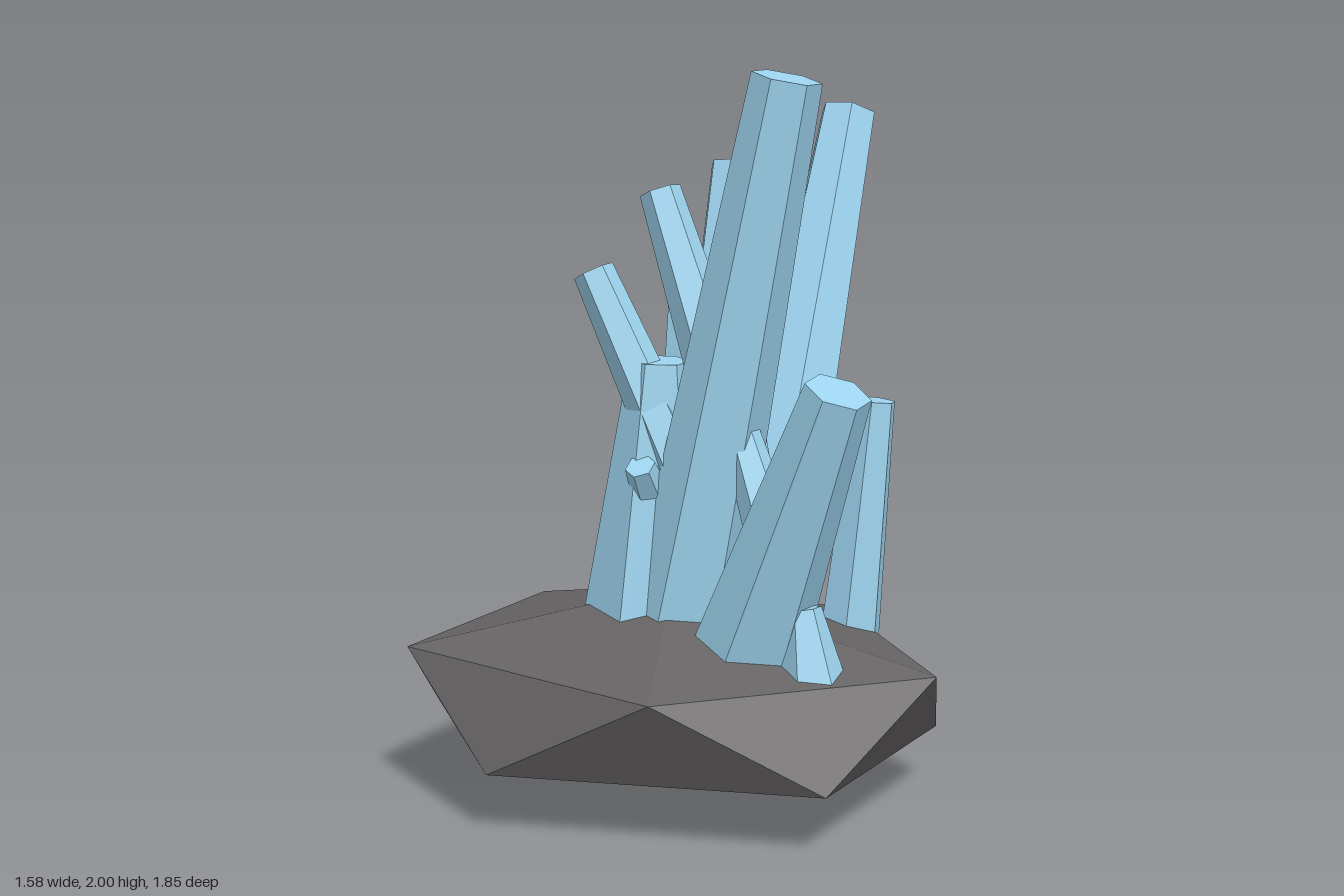
import * as THREE from 'three';
import { ConvexGeometry } from 'three/addons/geometries/ConvexGeometry.js';

const rockMaterial = new THREE.MeshStandardMaterial({ color: 0x666464, flatShading: true });
const crystalMaterial = new THREE.MeshStandardMaterial({ color: 0x9dd3ee, flatShading: true });

// Flattened icosahedron: two poles and two staggered rings of five corners
function makeRock() {
  const cz = 0.32, rx = 0.79, rz = 0.625;
  const points = [new THREE.Vector3(0, 0, cz), new THREE.Vector3(0, 0.58, cz)];
  for (let i = 0; i < 5; i++) {
    const a = (i / 5) * Math.PI * 2;
    points.push(new THREE.Vector3(rx * Math.cos(a), 0.415, cz + rz * Math.sin(a)));
    points.push(new THREE.Vector3(-rx * Math.cos(a), 0.165, cz + rz * Math.sin(a)));
  }
  const rock = new THREE.Mesh(new ConvexGeometry(points), rockMaterial);
  rock.name = 'rockBase';
  return rock;
}

// Six-sided tapered shaft from base to tip; spin is in degrees about its axis
function makeCrystal({ name, base, tip, r, spin = 0 }) {
  const a = new THREE.Vector3(...base);
  const b = new THREE.Vector3(...tip);
  const axis = b.clone().sub(a);
  const length = axis.length();
  const geometry = new THREE.CylinderGeometry(r[1], r[0], length, 6);
  geometry.rotateY(THREE.MathUtils.degToRad(spin));
  const crystal = new THREE.Mesh(geometry, crystalMaterial);
  crystal.quaternion.setFromUnitVectors(new THREE.Vector3(0, 1, 0), axis.normalize());
  crystal.position.copy(a).add(b).multiplyScalar(0.5);
  crystal.name = name;
  return crystal;
}

// r is [base radius, tip radius]
const crystals = [
  // Large shafts growing from the rock
  { name: 'tallCrystal', base: [0.04, 0.45, 0.36], tip: [0.37, 1.985, 0.375], r: [0.155, 0.095] },
  { name: 'backLeaningCrystal', base: [0.01, 0.3, -0.14], tip: [-0.015, 1.83, -0.865], r: [0.155, 0.088], spin: 30 },
  { name: 'middleLeaningCrystal', base: [-0.06, 0.42, -0.01], tip: [-0.14, 1.69, -0.385], r: [0.165, 0.102], spin: 30 },
  { name: 'backRightCrystal', base: [-0.24, 0.27, -0.24], tip: [-0.285, 1.28, -0.385], r: [0.14, 0.1], spin: 20 },
  { name: 'frontCrystal', base: [-0.06, 0.45, 0.33], tip: [-0.03, 1.21, 0.335], r: [0.2, 0.085] },
  { name: 'sideLeaningCrystal', base: [0.28, 0.42, 0.44], tip: [0.605, 1.2, 0.555], r: [0.155, 0.09] },
  { name: 'innerCrystal', base: [0.19, 0.45, 0.24], tip: [0.085, 1.16, 0.18], r: [0.15, 0.085] },
  { name: 'backLeftCrystal', base: [0.365, 0.39, -0.06], tip: [0.42, 1.07, -0.1], r: [0.09, 0.06], spin: 15 },
  // Small stubs near the rock
  { name: 'sideStub', base: [0.505, 0.4, 0.485], tip: [0.47, 0.6, 0.475], r: [0.09, 0.05] },
  { name: 'innerStub', base: [0.27, 0.47, 0.24], tip: [0.25, 0.74, 0.22], r: [0.1, 0.045] },
  // Thin branches growing from the larger shafts
  { name: 'upperBranch', base: [0.17, 1.1, 0.33], tip: [-0.05, 1.67, 0.295], r: [0.085, 0.057] },
  { name: 'lowerBranch', base: [0.04, 0.93, 0.36], tip: [-0.215, 1.45, 0.375], r: [0.08, 0.057] },
  { name: 'forwardBranch', base: [-0.03, 0.75, 0.33], tip: [-0.02, 0.94, 0.47], r: [0.065, 0.042] },
  { name: 'sideBranch', base: [0.37, 0.72, 0.42], tip: [0.235, 1.05, 0.38], r: [0.075, 0.05] },
];

export function createModel() {
  const model = new THREE.Group();
  model.name = 'crystalCluster';
  model.add(makeRock());
  crystals.forEach((c) => model.add(makeCrystal(c)));
  return model;
}
